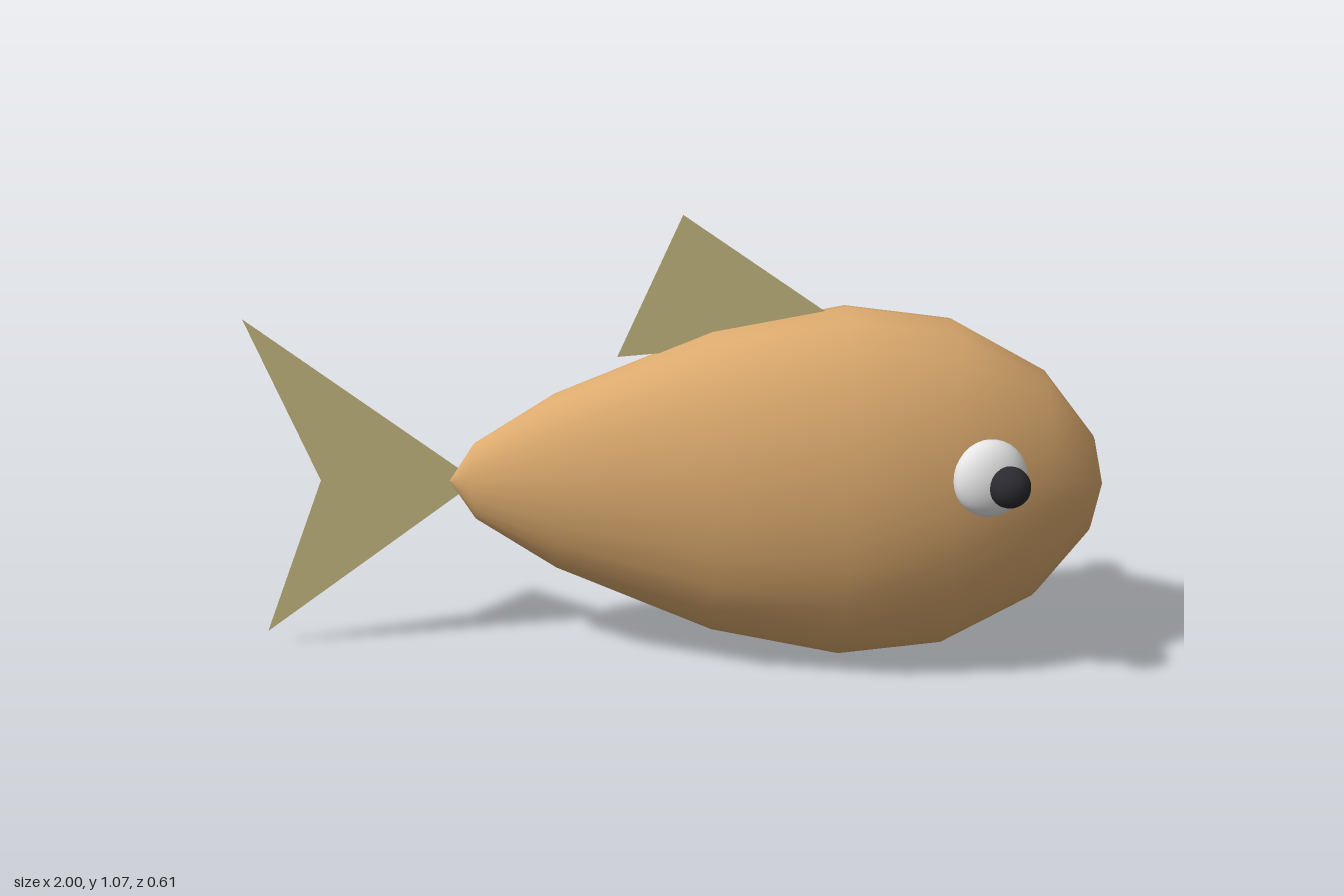
import * as THREE from 'three';

const mat = (name, color, side = THREE.FrontSide) => {
  const m = new THREE.MeshStandardMaterial({ color, side });
  m.name = name;
  return m;
};

export function createModel() {
  const skin = mat('orange brown skin', 0xdcaa6e);
  const finMat = mat('khaki fin', 0xcdbe86, THREE.DoubleSide);
  const white = mat('eye white', 0xe6e6e6);
  const black = mat('pupil black', 0x2a2a30);

  const fish = new THREE.Group();
  fish.name = 'fish';
  const add = (name, geometry, material, parent = fish) => {
    const mesh = new THREE.Mesh(geometry, material);
    mesh.name = name;
    parent.add(mesh);
    return mesh;
  };

  // Body: a turned profile laid along x (nose at +x) and flattened sideways
  const profile = [
    [0, -0.54], [0.093, -0.48], [0.215, -0.29], [0.37, 0.08], [0.43, 0.385],
    [0.4, 0.63], [0.28, 0.845], [0.12, 0.97], [0, 1.0],
  ].map(([r, x]) => new THREE.Vector2(r, x));
  const body = new THREE.LatheGeometry(profile, 24);
  body.rotateZ(-Math.PI / 2).scale(1, 1, 0.6).translate(0, 0.433, 0);
  add('body', body, skin);

  // Fins: flat sheets in the middle plane
  const sheet = (points) =>
    new THREE.ShapeGeometry(new THREE.Shape(points.map(([x, y]) => new THREE.Vector2(x, y))));
  add('dorsalFin', sheet([[-0.14, 0.742], [0.42, 0.795], [0.012, 1.077]]), finMat);
  add('tailFin', sheet([[-1, 0.83], [-0.845, 0.433], [-1, 0.037], [-0.475, 0.433]]), finMat);

  // Eyes: flattened whites lying on the cheeks, with round pupils
  for (const [side, s] of [['right', 1], ['left', -1]]) {
    const eye = new THREE.Group();
    eye.name = side + 'Eye';
    fish.add(eye);
    const ball = add('eyeWhite', new THREE.SphereGeometry(0.088, 24, 16), white, eye);
    ball.scale.z = 0.57;
    ball.position.set(0.7, 0.529, 0.213 * s);
    const out = new THREE.Vector3(0.28, 0.17, 0.94 * s).normalize();
    ball.lookAt(ball.position.clone().add(out));
    add('pupil', new THREE.SphereGeometry(0.047, 16, 12), black, eye)
      .position.set(0.737, 0.525, 0.258 * s);
  }
  return fish;
}
